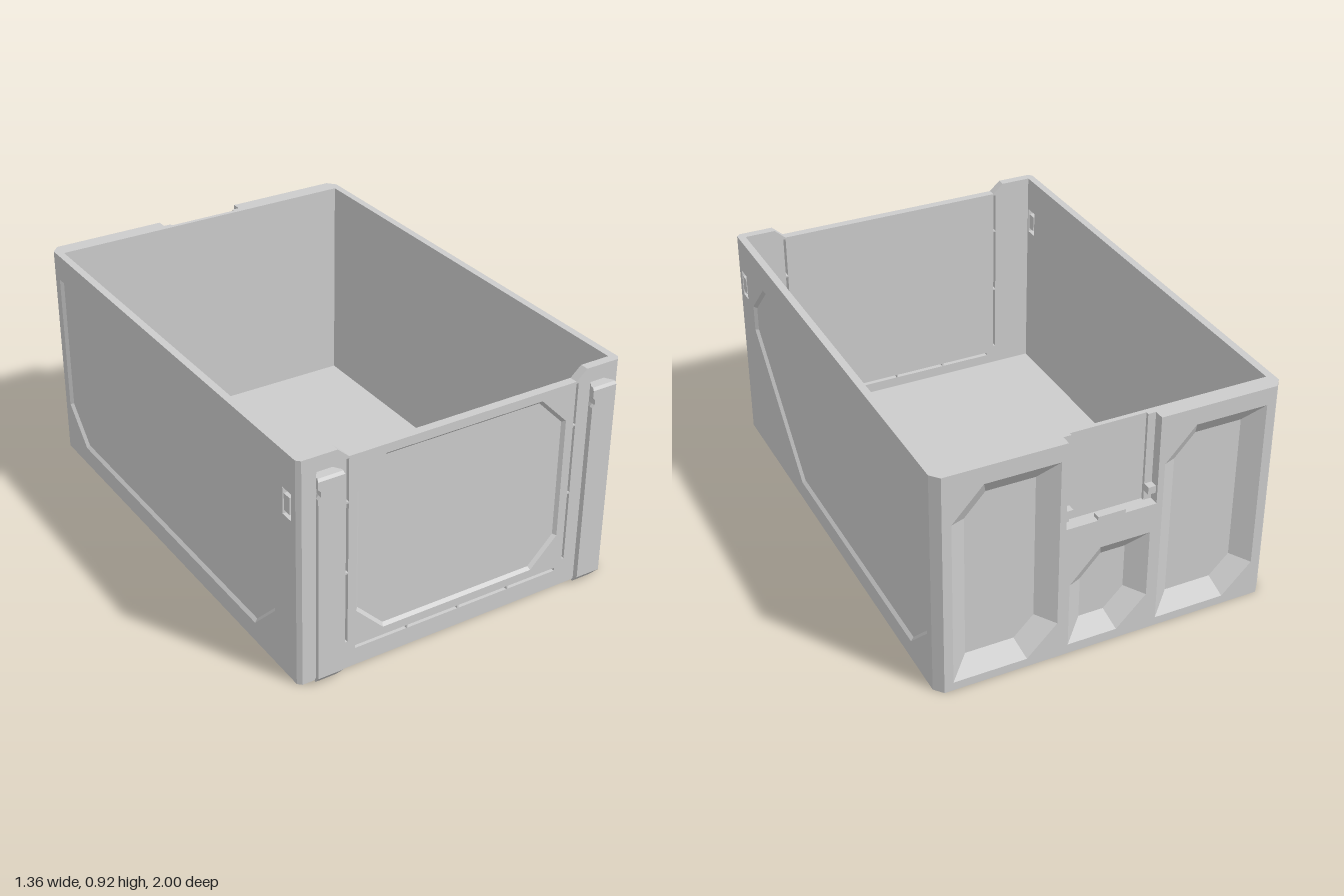
import * as THREE from 'three';

const material = new THREE.MeshStandardMaterial({ color: 0xcccccc, flatShading: true });

function addMesh(parent, name, geometry) {
  const m = new THREE.Mesh(geometry, material);
  m.name = name;
  parent.add(m);
  return m;
}

function addBox(parent, name, x0, x1, y0, y1, z0, z1) {
  const g = new THREE.BoxGeometry(x1 - x0, y1 - y0, z1 - z0);
  g.translate((x0 + x1) / 2, (y0 + y1) / 2, (z0 + z1) / 2);
  return addMesh(parent, name, g);
}

const rect = (x0, x1, y0, y1) => [[x0, y0], [x1, y0], [x1, y1], [x0, y1]];
const toVectors = (pts) => pts.map(([x, y]) => new THREE.Vector2(x, y));

function slab(outline, holes, z0, z1) {
  const shape = new THREE.Shape(toVectors(outline));
  holes.forEach((h) => shape.holes.push(new THREE.Path(toVectors(h))));
  const g = new THREE.ExtrudeGeometry(shape, { depth: z1 - z0, bevelEnabled: false });
  return g.translate(0, 0, z0);
}

// moves every edge of a convex counter-clockwise outline inwards
function inset(pts, d) {
  const n = pts.length;
  const normal = (a, b) => {
    const dx = b[0] - a[0], dy = b[1] - a[1], l = Math.hypot(dx, dy);
    return [-dy / l, dx / l];
  };
  return pts.map((p, i) => {
    const a = normal(pts[(i + n - 1) % n], p), b = normal(p, pts[(i + 1) % n]);
    const k = d / (1 + a[0] * b[0] + a[1] * b[1]);
    return [p[0] + k * (a[0] + b[0]), p[1] + k * (a[1] + b[1])];
  });
}

// skin between rings of points, with optional end caps
function loft(rings, capped) {
  const n = rings[0].length, index = [];
  for (let r = 0; r < rings.length - 1; r++) {
    for (let i = 0; i < n; i++) {
      const a = r * n + i, b = r * n + (i + 1) % n;
      index.push(a, b, b + n, a, b + n, a + n);
    }
  }
  if (capped) {
    const top = (rings.length - 1) * n;
    for (let i = 1; i < n - 1; i++) index.push(0, i + 1, i, top, top + i, top + i + 1);
  }
  const g = new THREE.BufferGeometry();
  g.setAttribute('position', new THREE.Float32BufferAttribute(rings.flat(2), 3));
  g.setIndex(index);
  const flat = g.toNonIndexed();
  flat.computeVertexNormals();
  return flat;
}

// wall facing +z at z = 0, with sloped recesses and through holes
function makeWall(name, o) {
  const wall = new THREE.Group();
  wall.name = name;
  const cuts = o.cuts || [];
  addMesh(wall, name + 'Face', slab(o.face || o.outline, [...o.recesses, ...cuts], -o.depth, 0));
  addMesh(wall, name + 'Backing', slab(o.outline, cuts, -o.thickness, -o.depth));
  o.recesses.forEach((r) => {
    const rings = [r.map(([x, y]) => [x, y, 0]), inset(r, o.slope).map(([x, y]) => [x, y, -o.depth])];
    addMesh(wall, name + 'RecessEdge', loft(rings, false));
  });
  return wall;
}

export function createModel() {
  const model = new THREE.Group();
  model.name = 'storageBin';
  const H = 0.92;

  addBox(model, 'floor', -0.652, 0.652, 0, 0.03, -0.95, 0.93);

  // front wall: lowered rim, octagonal panel and door slots
  const slots = [];
  for (const s of [-1, 1]) {
    for (const [y0, y1] of [[0.115, 0.405], [0.412, 0.695], [0.702, 0.872]]) {
      slots.push(rect(s * 0.485 - 0.005, s * 0.485 + 0.005, y0, y1));
    }
  }
  for (let i = 0; i < 4; i++) {
    const x = -0.45 + i * 0.225;
    slots.push(rect(x + 0.003, x + 0.222, 0.073, 0.086));
  }
  const front = makeWall('frontWall', {
    outline: [[-0.665, 0], [0.665, 0], [0.665, H], [0.525, H], [0.48, 0.88],
      [-0.48, 0.88], [-0.525, H], [-0.665, H]],
    recesses: [[[-0.33, 0.12], [0.33, 0.12], [0.445, 0.235], [0.445, 0.73],
      [0.33, 0.845], [-0.33, 0.845], [-0.445, 0.73], [-0.445, 0.235]]],
    cuts: slots, thickness: 0.035, depth: 0.012, slope: 0.012,
  });
  front.position.z = 0.955;
  model.add(front);

  // side walls: recessed panel and handle slot; u runs along z
  const rightPanel = [[-0.32, 0.08], [0.78, 0.08], [0.925, 0.225], [0.925, 0.81],
    [-0.65, 0.81], [-0.795, 0.665], [-0.795, 0.555]];
  const leftPanel = [[-0.78, 0.08], [0.65, 0.08], [0.795, 0.225], [0.795, 0.81],
    [-0.925, 0.81], [-0.925, 0.225]];
  for (const s of [-1, 1]) {
    const span = s > 0 ? [-0.94, 0.965] : [-0.965, 0.94];
    const c = -s * 0.885;
    const side = makeWall(s > 0 ? 'leftSideWall' : 'rightSideWall', {
      outline: rect(span[0], span[1], 0, H),
      recesses: [s > 0 ? rightPanel : leftPanel],
      cuts: [rect(c - 0.028, c + 0.028, 0.668, 0.775)],
      thickness: 0.03, depth: 0.012, slope: 0.012,
    });
    addBox(side, 'slotCore', c - 0.019, c + 0.019, 0.688, 0.755, -0.03, 0);
    side.rotation.y = s * Math.PI / 2;
    side.position.x = s * 0.68;
    model.add(side);

    // chamfered corner strips
    for (const [x, z0, z1, name] of [[0.665, 0.94, 0.955, 'frontCorner'], [0.65, -0.965, -1, 'backCorner']]) {
      const g = slab([[s * x, -z0], [s * 0.68, -z0], [s * x, -z1]], [], 0, H);
      addMesh(model, name, g.rotateX(-Math.PI / 2));
    }
  }

  // back wall: three deep pockets and an open latch notch
  const pocket = (x0, x1, y0, y1) => [[x0, y0], [x1 - 0.12, y0], [x1, y0 + 0.12], [x1, y1],
    [x0 + 0.12, y1], [x0, y1 - 0.13]];
  const back = makeWall('backWall', {
    outline: rect(-0.65, 0.65, 0, H),
    face: [[-0.65, 0], [0.65, 0], [0.65, H], [0.18, H], [0.18, 0.56],
      [-0.18, 0.56], [-0.18, H], [-0.65, H]],
    recesses: [pocket(-0.615, -0.205, 0.035, 0.85), pocket(0.205, 0.615, 0.035, 0.85),
      pocket(-0.16, 0.16, 0.04, 0.44)],
    thickness: 0.07, depth: 0.052, slope: 0.07,
  });
  addBox(back, 'latchCatch', -0.055, 0.055, 0.55, 0.575, -0.03, 0);
  for (const s of [-1, 1]) {
    addBox(back, 'latchNib', s * 0.165 - 0.016, s * 0.165 + 0.016, 0.6, 0.63, -0.05, -0.01);
    addBox(back, 'latchGuide', s * 0.165 - 0.016, s * 0.165 + 0.016, 0.56, H, -0.052, -0.04);
  }
  back.rotation.y = Math.PI;
  back.position.z = -1;
  model.add(back);

  // flared stacking rails on the front, each with a small notch
  const section = (y, zFlare, zFront, w, notch) => [
    [-0.03, y, 0.953], [-w + notch, y, zFlare], [-w + notch, y, zFront],
    [w, y, zFront], [w, y, zFlare], [0.03, y, 0.953]];
  const rail = loft([
    section(0, 0.958, 0.965, 0.042, 0), section(0.04, 0.985, 1, 0.052, 0),
    section(0.78, 0.985, 1, 0.052, 0), section(0.79, 0.985, 1, 0.052, 0.01),
    section(0.81, 0.985, 1, 0.052, 0.01), section(0.82, 0.985, 1, 0.052, 0),
    section(0.85, 0.985, 1, 0.052, 0), section(0.86, 0.983, 0.992, 0.05, 0)], true);
  for (const s of [-1, 1]) addMesh(model, 'stackingRail', rail).position.x = s * 0.576;

  return model;
}
